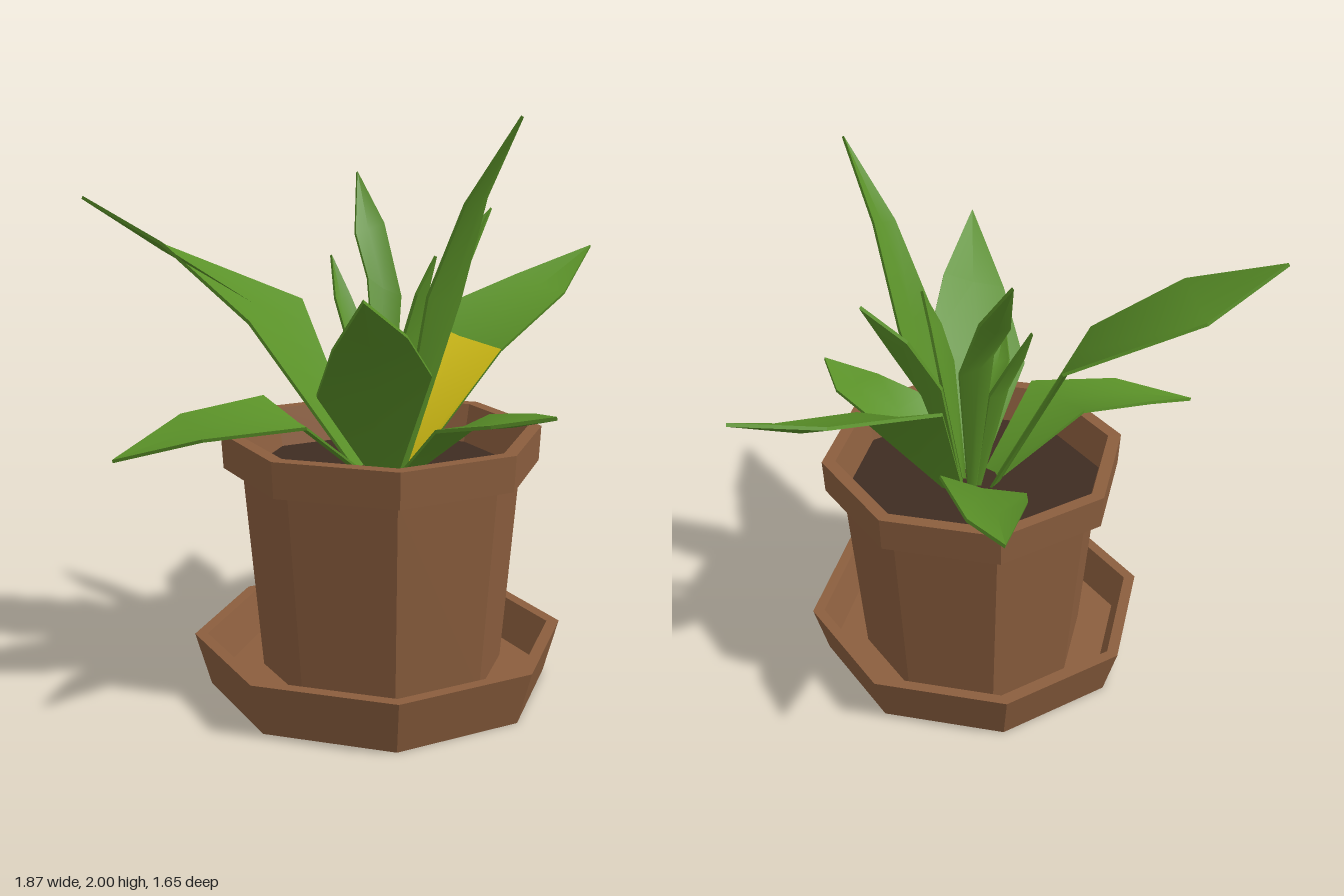
import * as THREE from 'three';

const clay = new THREE.MeshStandardMaterial({ color: 0x8b5e3e });
const soilBrown = new THREE.MeshStandardMaterial({ color: 0x3f2c22 });
const leafGreen = new THREE.MeshStandardMaterial({ color: 0x5a9128 });
const yellow = new THREE.MeshStandardMaterial({ color: 0xd0bc14 });
[clay, soilBrown, leafGreen, yellow].forEach((m, i) => {
  m.name = ['clay', 'soilBrown', 'leafGreen', 'yellow'][i];
});

// Eight-sided turned part with hard facets
function turned(name, profile, x, z) {
  const lathe = new THREE.LatheGeometry(profile.map(([r, y]) => new THREE.Vector2(r, y)), 8);
  const geo = lathe.toNonIndexed();
  geo.computeVertexNormals();
  const mesh = new THREE.Mesh(geo, clay);
  mesh.name = name;
  mesh.position.set(x, 0, z);
  return mesh;
}

const THICK = 0.012;
const heart = new THREE.Vector3(-0.1, 0.76, 0.11);

// Thin solid blade: two width rows (edge a, edge b) and a tip; the base grows from the heart
function leaf(name, a1, b1, a2, b2, tip, baseMaterial = leafGreen) {
  let [A1, B1, A2, B2, T] = [a1, b1, a2, b2, tip].map((p) => new THREE.Vector3(...p));
  const mid = (p, q) => p.clone().add(q).multiplyScalar(0.5);
  const up = B1.clone().sub(A1).cross(T.clone().sub(mid(A1, B1))).normalize();
  if (up.y < 0) {
    [A1, B1, A2, B2] = [B1, A1, B2, A2];
    up.negate();
  }
  const root = (p) => {
    const q = heart.clone().lerp(p, 0.22);
    q.y = heart.y;
    return q;
  };
  const rows = [[root(A1), root(B1)], [A1, B1], [A2, B2], [T, T]].map(([p, q], i) => {
    const c = mid(p, q).addScaledVector(up, i < 3 ? -0.015 : 0);
    return [p, c, q];
  });

  const pos = [], index = [];
  const put = (p, d) => {
    const q = p.clone().addScaledVector(up, d);
    return pos.push(q.x, q.y, q.z) / 3 - 1;
  };
  const quad = (a, b, c, d) => index.push(a, b, c, a, c, d);

  // Upper and lower faces, the base span of the upper face first
  for (const top of [true, false]) {
    const id = rows.map((r) => r.map((p) => put(p, top ? 0 : -THICK)));
    for (let i = 0; i < 3; i++) {
      for (let j = 0; j < 2; j++) {
        const q = [id[i][j], id[i][j + 1], id[i + 1][j + 1], id[i + 1][j]];
        quad(...(top ? q : q.reverse()));
      }
    }
  }
  // Narrow edges
  for (let i = 0; i < 3; i++) {
    for (const side of [0, 2]) {
      const p = rows[i][side], n = rows[i + 1][side];
      const q = [put(p, 0), put(p, -THICK), put(n, -THICK), put(n, 0)];
      quad(...(side === 2 ? q : q.reverse()));
    }
  }
  const geo = new THREE.BufferGeometry();
  geo.setAttribute('position', new THREE.Float32BufferAttribute(pos, 3));
  geo.setIndex(index);
  geo.addGroup(0, 12, 0);
  geo.addGroup(12, index.length - 12, 1);
  geo.computeVertexNormals();
  const mesh = new THREE.Mesh(geo, [baseMaterial, leafGreen]);
  mesh.name = name;
  return mesh;
}

export function createModel() {
  const model = new THREE.Group();
  model.name = 'pottedPlant';

  model.add(turned('saucer',
    [[0, 0], [0.6, 0], [0.655, 0.19], [0.61, 0.19], [0.565, 0.05], [0, 0.05]], -0.155, 0.118));
  model.add(turned('pot',
    [[0.43, 0.05], [0.493, 0.785], [0.558, 0.785], [0.565, 0.91], [0.515, 0.91], [0.48, 0.75]], -0.115, 0.102));

  const soil = new THREE.Mesh(new THREE.CircleGeometry(0.49, 8), soilBrown);
  soil.name = 'soil';
  soil.rotation.x = -Math.PI / 2;
  soil.position.set(-0.115, 0.77, 0.102);
  model.add(soil);

  const leaves = new THREE.Group();
  leaves.name = 'leaves';
  leaves.add(
    // Large outer leaves
    leaf('leftLeaf', [0.21, 1.26, 0], [0.26, 1.17, 0.34], [0.65, 1.38, 0.13], [0.67, 1.33, 0.34], [0.93, 1.48, 0.29], yellow),
    leaf('backLeftLeaf', [0.09, 0.97, -0.27], [0.27, 1.05, -0.03], [0.25, 1.07, -0.38], [0.46, 1.08, -0.28], [0.545, 1.115, -0.49]),
    leaf('backRightLeaf', [-0.52, 1.32, -0.14], [-0.13, 1.34, -0.26], [-0.61, 1.57, -0.46], [-0.42, 1.53, -0.65], [-0.65, 1.71, -0.82]),
    leaf('rightLeaf', [-0.53, 1.0, 0.12], [-0.4, 1.04, -0.2], [-0.78, 0.97, -0.11], [-0.66, 1.0, -0.34], [-0.94, 0.89, -0.37]),
    leaf('frontRightLeaf', [-0.48, 1.1, 0.12], [-0.24, 1.17, 0.41], [-0.64, 1.3, 0.33], [-0.52, 1.35, 0.53], [-0.81, 1.5, 0.6]),
    leaf('frontLeaf', [-0.23, 0.98, 0.42], [0.04, 0.99, 0.45], [-0.2, 1.02, 0.62], [0, 1.03, 0.66], [-0.12, 1.065, 0.82]),
    // Upright inner leaves
    leaf('tallFrontLeaf', [-0.18, 1.41, 0.34], [0, 1.38, 0.34], [-0.155, 1.72, 0.47], [-0.05, 1.74, 0.48], [-0.12, 2, 0.66]),
    leaf('tallBackLeaf', [0, 1.42, -0.06], [0.09, 1.35, 0.02], [0.05, 1.57, -0.16], [0.14, 1.6, -0.1], [0.155, 1.78, -0.24]),
    leaf('innerLeftLeaf', [0.1, 1.28, 0.08], [0.06, 1.2, 0.2], [0.22, 1.5, 0.13], [0.2, 1.42, 0.21], [0.35, 1.66, 0.22]),
    leaf('innerRightLeaf', [-0.25, 1.06, 0.08], [-0.2, 1.03, 0.2], [-0.37, 1.17, 0.12], [-0.32, 1.14, 0.2], [-0.46, 1.25, 0.2]),
    leaf('innerBackLeaf', [-0.15, 1.2, -0.02], [-0.06, 1.2, 0], [-0.13, 1.36, -0.1], [-0.06, 1.36, -0.09], [-0.07, 1.5, -0.17]),
    leaf('innerFrontLeaf', [-0.12, 1.25, 0.19], [-0.02, 1.25, 0.18], [-0.1, 1.4, 0.23], [-0.04, 1.4, 0.23], [-0.06, 1.53, 0.28])
  );
  model.add(leaves);
  return model;
}
